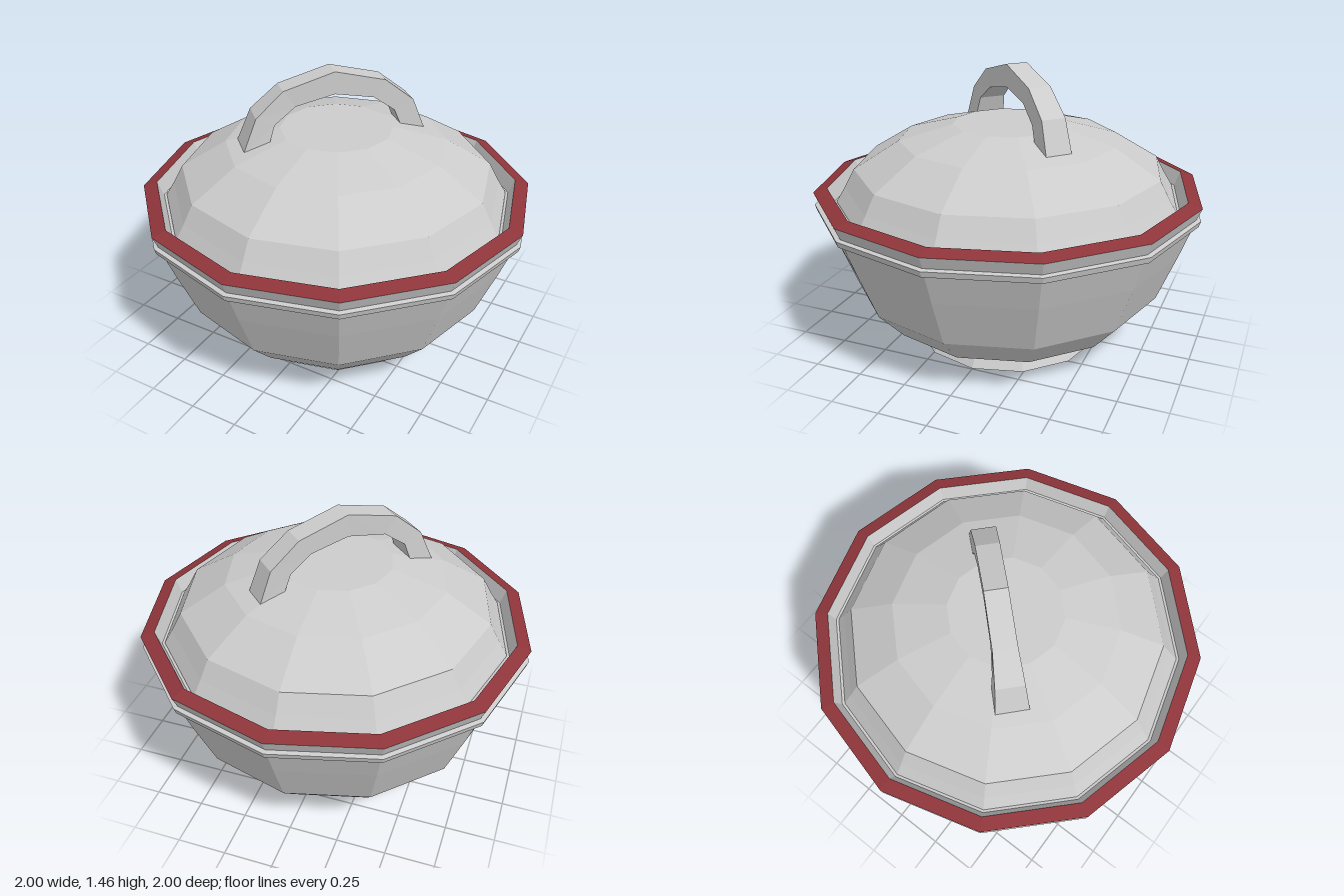
import * as THREE from 'three';

const SIDES = 12;
const grey = new THREE.MeshStandardMaterial({ color: 0xcccccc, flatShading: true });
const red = new THREE.MeshStandardMaterial({ color: 0x8e353a, flatShading: true });

// Faceted ring or shell turned from [radius, height] points, outside running upwards
function turned(name, profile, material = grey) {
  const points = profile.map(([r, y]) => new THREE.Vector2(r, y));
  const mesh = new THREE.Mesh(new THREE.LatheGeometry(points, SIDES), material);
  mesh.name = name;
  return mesh;
}

// Arched grip: rectangular sections [outerU, outerY, innerU, innerY, halfWidth]
function archGeometry(sections) {
  const positions = [], index = [];
  for (const [ou, oy, iu, iy, w] of sections) {
    positions.push(ou, oy, w, ou, oy, -w, iu, iy, -w, iu, iy, w);
  }
  for (let s = 0; s < sections.length - 1; s++) {
    for (let k = 0; k < 4; k++) {
      const a = s * 4 + k, b = s * 4 + (k + 1) % 4;
      index.push(a, a + 4, b, b, a + 4, b + 4);
    }
  }
  const e = (sections.length - 1) * 4;
  index.push(0, 1, 2, 0, 2, 3, e, e + 2, e + 1, e, e + 3, e + 2);
  const geometry = new THREE.BufferGeometry();
  geometry.setAttribute('position', new THREE.Float32BufferAttribute(positions, 3));
  geometry.setIndex(index);
  geometry.computeVertexNormals();
  return geometry;
}

export function createModel() {
  const group = new THREE.Group();
  group.name = 'lidded bowl';

  // Foot and bowl
  group.add(turned('foot', [[0, 0], [0.495, 0], [0.45, 0.08]]));
  group.add(turned('bowl', [
    [0.45, 0.08], [0.67, 0.165], [0.805, 0.315], [0.905, 0.57], [0.965, 0.735],
  ]));

  // Raised band with a coloured underside, then the flared lip
  group.add(turned('bandUnderside', [[0.965, 0.735], [0.988, 0.735]], red));
  group.add(turned('band', [[0.988, 0.735], [0.997, 0.765], [0.975, 0.77], [1, 0.83]]));
  group.add(turned('rim', [[1, 0.83], [0.93, 0.85]], red));

  // Inner wall, lid seat and hollow
  group.add(turned('bowlInside', [
    [0.93, 0.85], [0.9, 0.775], [0.86, 0.77], [0.85, 0.57], [0.75, 0.335], [0.62, 0.2], [0, 0.13],
  ]));

  // Domed lid with a flat top
  group.add(turned('lid', [
    [0.887, 0.77], [0.885, 0.78], [0.842, 0.85], [0.79, 0.945], [0.56, 1.085], [0.285, 1.16], [0, 1.16],
  ]));

  // Handle set diagonally across the lid
  const handle = new THREE.Mesh(archGeometry([
    [-0.47, 1.1, -0.35, 1.1, 0.082],
    [-0.4, 1.265, -0.31, 1.22, 0.07],
    [-0.26, 1.385, -0.2, 1.3, 0.058],
    [0, 1.455, 0, 1.34, 0.056],
    [0.26, 1.385, 0.2, 1.3, 0.058],
    [0.41, 1.265, 0.31, 1.22, 0.062],
    [0.475, 1.1, 0.36, 1.1, 0.067],
  ]), grey);
  handle.name = 'handle';
  handle.position.set(-0.04, 0, -0.025);
  handle.rotation.y = 0.806;
  group.add(handle);

  return group;
}
